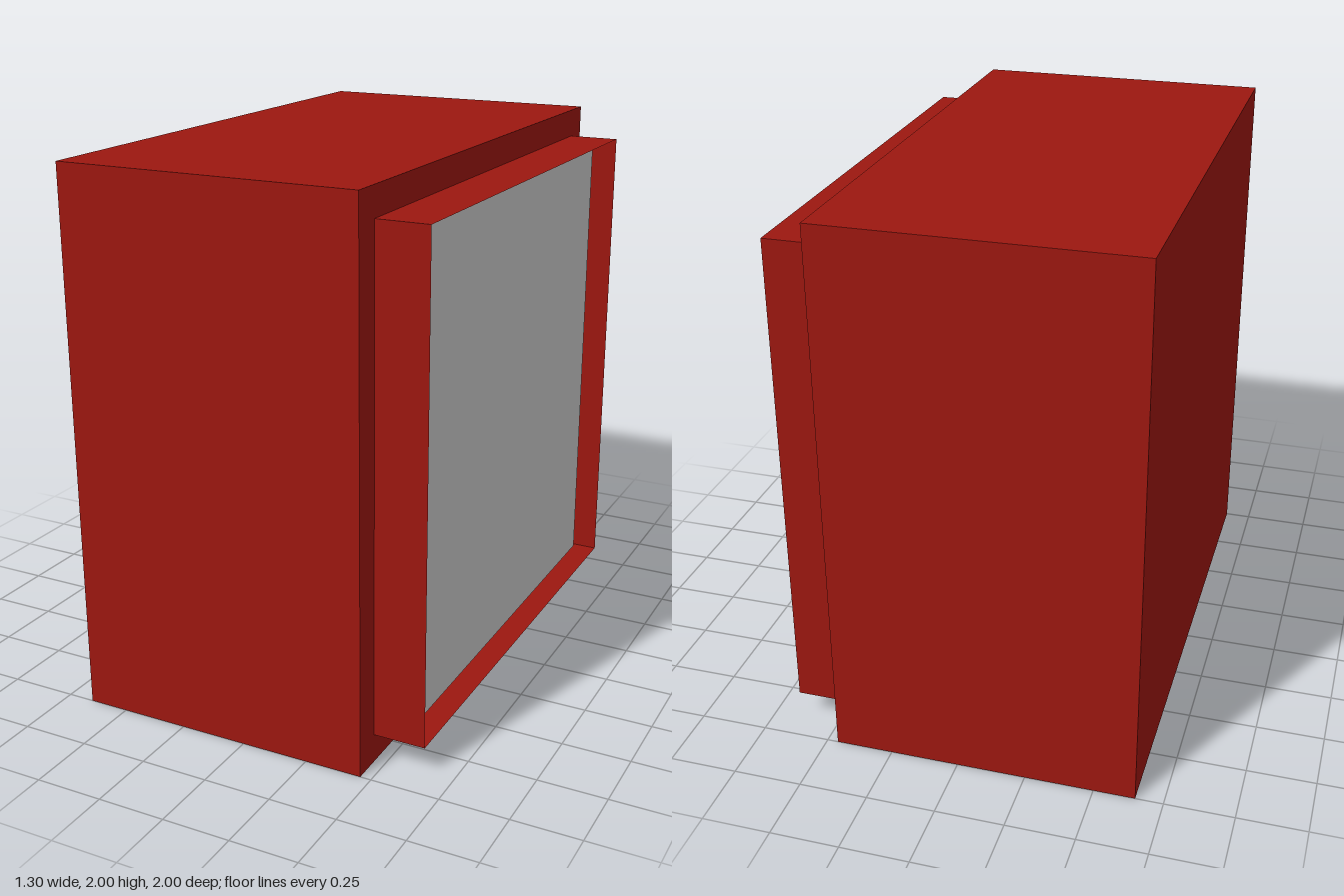
import * as THREE from 'three';

export function createModel() {
  const model = new THREE.Group();
  const red = new THREE.MeshStandardMaterial({ color: 0x9c1710, flatShading: true });
  const redSheet = new THREE.MeshStandardMaterial({ color: 0x9c1710, flatShading: true, side: THREE.DoubleSide });
  const grey = new THREE.MeshStandardMaterial({ color: 0xcccccc, flatShading: true });

  const add = (parent, name, geometry, material, x, y, z) => {
    const mesh = new THREE.Mesh(geometry, material);
    mesh.name = name;
    mesh.position.set(x, y, z);
    parent.add(mesh);
    return mesh;
  };

  // Main cabinet
  const left = -0.65, face = 0.46, rim = 0.65;
  add(model, 'cabinet', new THREE.BoxGeometry(face - left, 2, 2), red, (left + face) / 2, 1, 0);

  // Thin open collar: four sheet walls standing out from the cabinet face
  const collar = new THREE.Group();
  collar.name = 'collar';
  const half = 0.895, depth = rim - face;
  for (let i = 0; i < 4; i++) {
    const wall = new THREE.Group();
    wall.position.set(face + depth / 2, 1, 0);
    wall.rotation.x = i * Math.PI / 2;
    add(wall, 'collarWall', new THREE.PlaneGeometry(depth, 2 * half), redSheet, 0, 0, half);
    collar.add(wall);
  }
  model.add(collar);

  // Recessed screen panel, set against the front-side wall of the collar
  const zMin = -0.805, zMax = 0.893, thickness = 0.01;
  add(model, 'screen', new THREE.BoxGeometry(thickness, 1.72, zMax - zMin), grey,
    0.582 - thickness / 2, 1, (zMin + zMax) / 2);

  return model;
}
